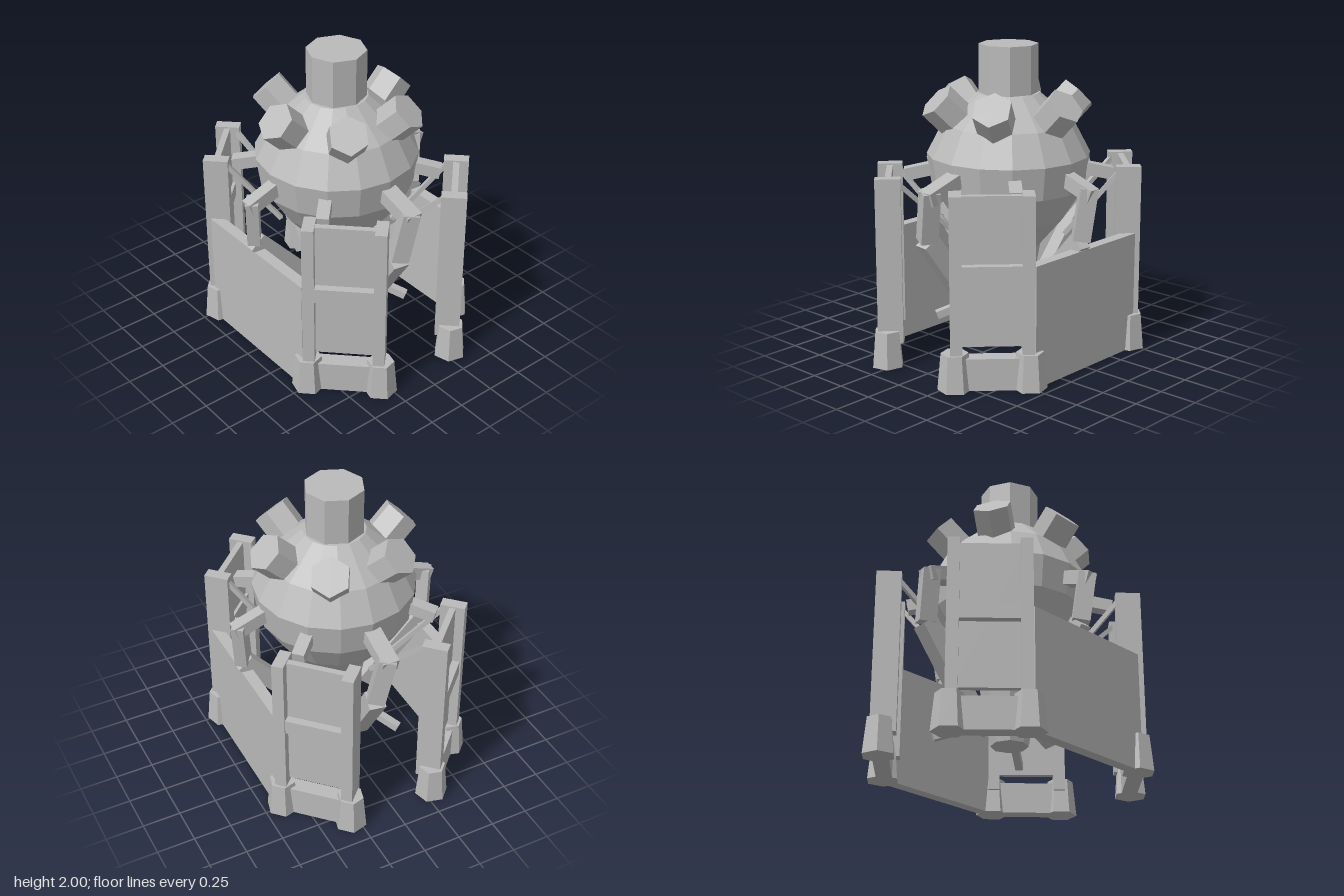
import * as THREE from 'three';

export function createModel() {
  const model = new THREE.Group();
  const grey = new THREE.MeshStandardMaterial({ color: 0xbababa, flatShading: true });
  grey.name = 'plainGrey';
  const V = (x, y, z) => new THREE.Vector3(x, y, z);

  function add(parent, name, geometry, x = 0, y = 0, z = 0) {
    const mesh = new THREE.Mesh(geometry, grey);
    mesh.name = name;
    mesh.position.set(x, y, z);
    parent.add(mesh);
    return mesh;
  }

  // Square beam from a to b in the parent's frame; w is across, d is the other thickness
  function beam(parent, name, a, b, w, d) {
    const mesh = add(parent, name, new THREE.BoxGeometry(w, d, a.distanceTo(b)));
    mesh.position.copy(a).add(b).multiplyScalar(0.5);
    mesh.quaternion.setFromRotationMatrix(new THREE.Matrix4().lookAt(b, a, V(0, 1, 0)));
  }

  // Faceted body, chimney and lower nozzle
  const profile = [[0, 0.69], [0.2, 0.69], [0.37, 0.89], [0.495, 1.09], [0.525, 1.3],
    [0.42, 1.5], [0.2, 1.69], [0, 1.69]].map(([r, y]) => new THREE.Vector2(r, y));
  add(model, 'body', new THREE.LatheGeometry(profile, 16));
  add(model, 'chimney', new THREE.CylinderGeometry(0.19, 0.19, 0.4, 8), 0, 1.8, 0);
  add(model, 'nozzle', new THREE.CylinderGeometry(0.21, 0.12, 0.5, 8), 0, 0.45, 0);

  // Six hexagonal studs tilted up and outward
  for (let i = 0; i < 6; i++) {
    const pivot = new THREE.Group();
    pivot.name = 'stud';
    pivot.rotation.y = Math.PI / 2 + i * Math.PI / 3;
    const stud = add(pivot, 'studPrism', new THREE.CylinderGeometry(0.127, 0.127, 0.24, 6), 0, 1.575, 0.39);
    stud.rotation.x = Math.PI / 4;
    model.add(pivot);
  }

  // Four bent arms; the front and back ones are wider and reach further
  for (let i = 0; i < 4; i++) {
    const arm = new THREE.Group();
    arm.name = 'arm';
    arm.rotation.y = i * Math.PI / 2;
    const side = i % 2 === 1;
    const out = side ? 0 : 0.045, lean = side ? -0.035 : -0.06, w = side ? 0.08 : 0.11;
    const knee = V(lean, 0.84, 0.635 + out);
    beam(arm, 'shoulder', V(0.005, 1.225, 0.42), V(0, 1.125, 0.7 + out), w, 0.09);
    beam(arm, 'upperArm', V(0, 1.17, 0.665 + out), knee, w, 0.11);
    beam(arm, 'lowerArm', knee, side ? V(0, 0.38, 0.22) : V(0, 0.33, 0.33), w, 0.12);
    model.add(arm);
  }

  // Four corner gates, each with two posts on tapered feet
  const c = 0.445, h = 0.219;
  for (const sx of [1, -1]) for (const sz of [1, -1]) {
    const gate = new THREE.Group();
    gate.name = 'cornerGate';
    gate.position.set(sx * c, 0, sz * 0.635);
    gate.rotation.y = Math.atan2(sx, sz);
    for (const s of [1, -1]) {
      add(gate, 'post', new THREE.BoxGeometry(0.075, 1.07, 0.16), s * h, 0.685, 0);
      const foot = add(gate, 'foot', new THREE.CylinderGeometry(0.085, 0.107, 0.235, 6), s * (h + 0.01), 0.1175, 0.022);
      foot.rotation.y = Math.PI / 6;
    }
    add(gate, 'gatePanel', new THREE.BoxGeometry(2 * h, 0.94, 0.04), 0, 0.74, 0);
    add(gate, 'crossBar', new THREE.BoxGeometry(2 * h, 0.1, 0.11), 0, 0.74, 0.015);
    add(gate, 'footBar', new THREE.BoxGeometry(2 * h, 0.205, 0.1), 0, 0.1025, 0.01);
    model.add(gate);

    // Braces from the posts, the body and the nozzle
    const p = (x, y, z) => V(sx * x, y, sz * z);
    beam(model, 'postBrace', p(0.27, 1.2, 0.75), p(0.1, 0.76, 0.32), 0.03, 0.03);
    beam(model, 'postBrace', p(0.57, 1.2, 0.45), p(0.28, 0.76, 0.23), 0.03, 0.03);
    beam(model, 'bodyPeg', p(0.28, 1.22, 0.26), p(0.48, 1.16, 0.46), 0.08, 0.08);
    beam(model, 'nozzleStrut', p(0.06, 0.36, 0.08), p(0.28, 0.23, 0.39), 0.05, 0.05);
  }

  // Long walls on both sides
  for (const s of [1, -1])
    add(model, 'sideWall', new THREE.BoxGeometry(0.075, 0.78, 0.965), s * 0.627, 0.39, 0);

  return model;
}
